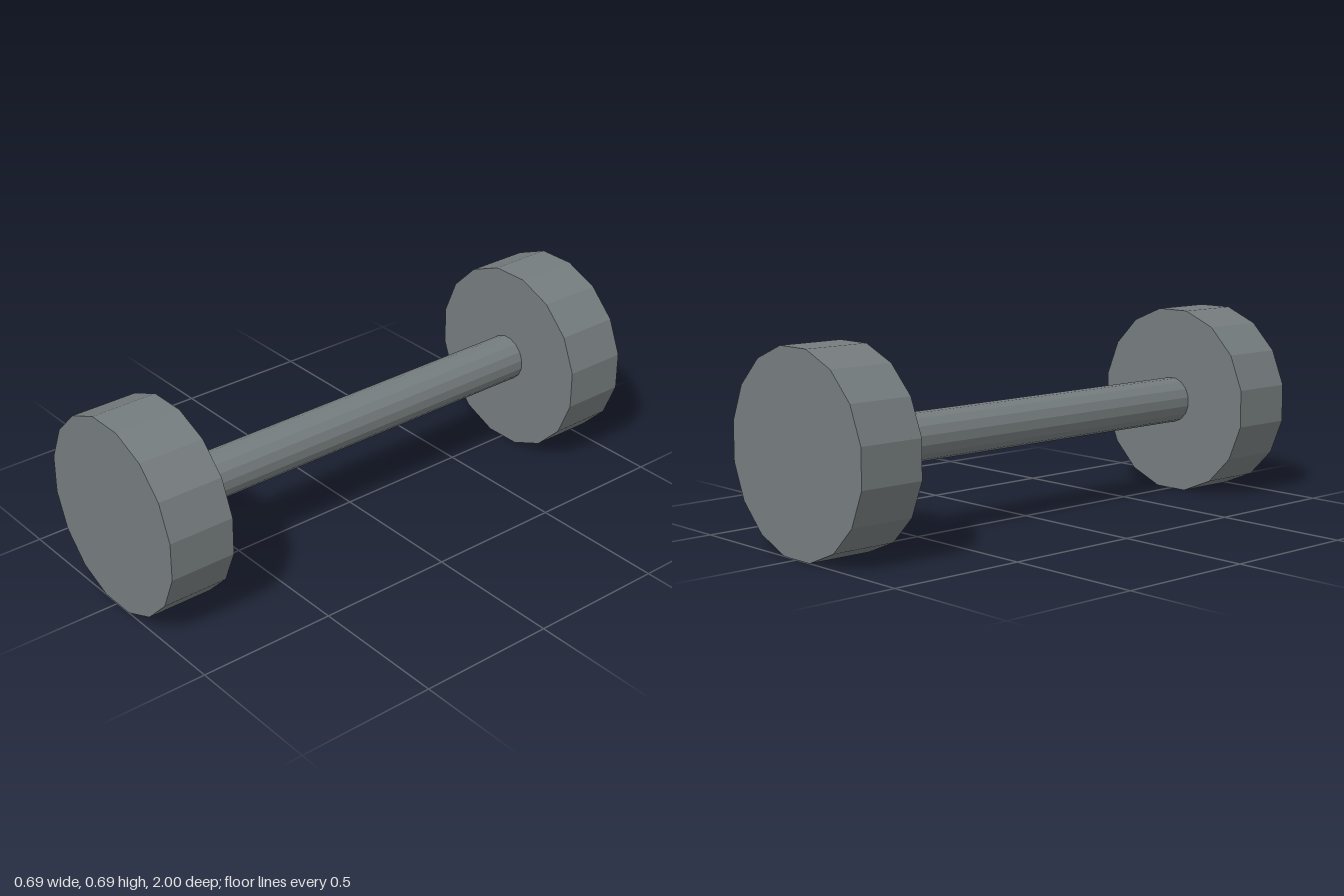
import * as THREE from 'three';

const SIDES = 16;
const PLATE_RADIUS = 0.35;
const PLATE_DEPTH = 0.24;
const BAR_RADIUS = 0.085;
const CENTRE_Y = PLATE_RADIUS * Math.cos(Math.PI / SIDES); // rests on a flat side

export function createModel() {
  const model = new THREE.Group();
  model.name = 'dumbbell';

  const iron = new THREE.MeshStandardMaterial({ color: 0x757c7e, flatShading: true });
  iron.name = 'grey iron';

  // Faceted cylinder along z with flat sides facing up and down
  function addCylinder(name, radius, length, z, openEnded) {
    const geometry = new THREE.CylinderGeometry(radius, radius, length, SIDES, 1, openEnded);
    geometry.rotateY(Math.PI / SIDES);
    geometry.rotateX(Math.PI / 2);
    const mesh = new THREE.Mesh(geometry, iron);
    mesh.name = name;
    mesh.position.set(0, CENTRE_Y, z);
    model.add(mesh);
  }

  // Handle bar between the weights
  addCylinder('handleBar', BAR_RADIUS, 2 - 2 * PLATE_DEPTH, 0, true);

  // Weight at each end
  for (const [name, side] of [['frontWeight', 1], ['backWeight', -1]]) {
    addCylinder(name, PLATE_RADIUS, PLATE_DEPTH, side * (1 - PLATE_DEPTH / 2), false);
  }

  return model;
}
